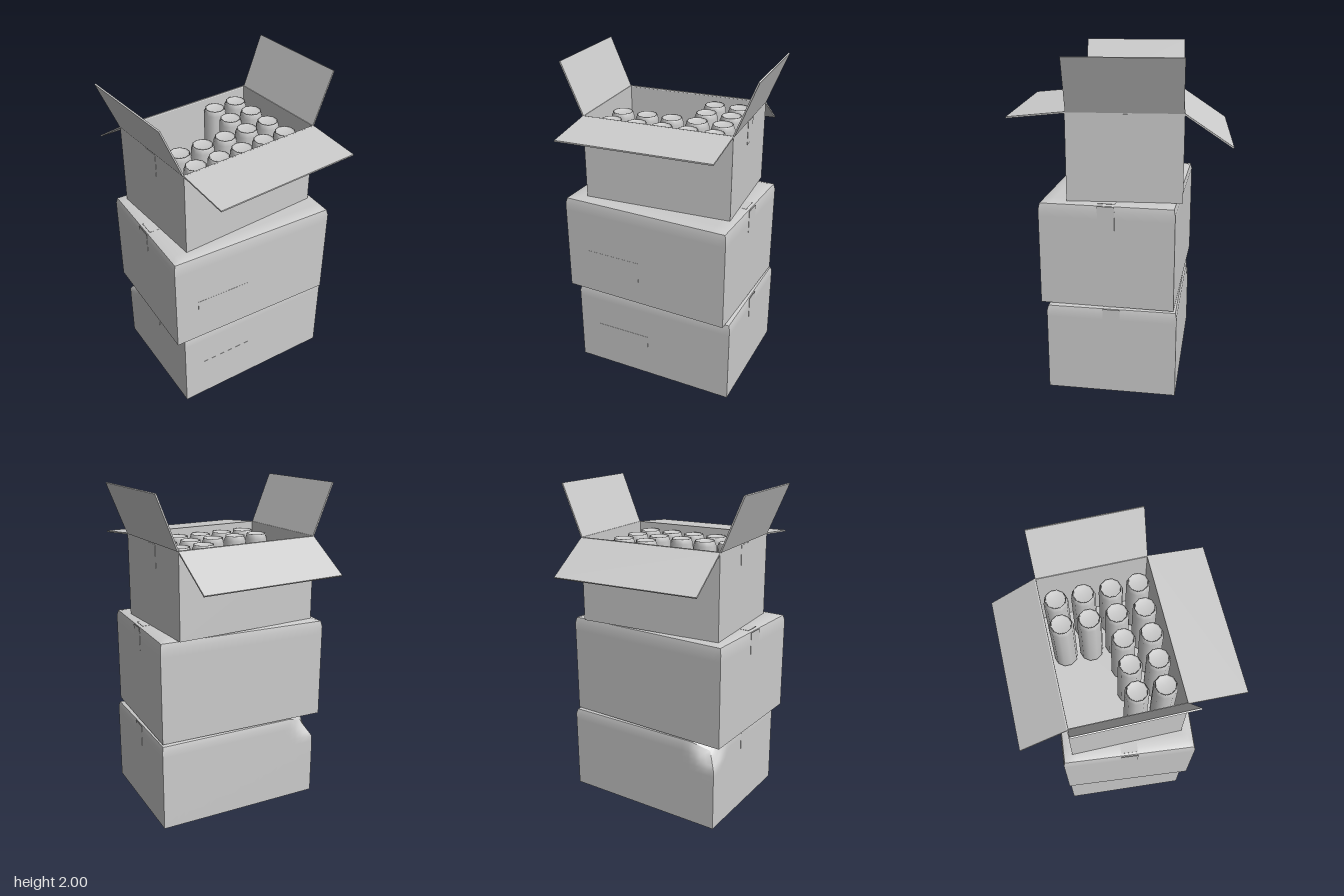
import * as THREE from 'three';

const grey = new THREE.MeshStandardMaterial({ color: 0xcccccc });
grey.name = 'plain grey';

function add(parent, name, geometry, x = 0, y = 0, z = 0) {
  const mesh = new THREE.Mesh(geometry, grey);
  mesh.name = name;
  mesh.position.set(x, y, z);
  parent.add(mesh);
  return mesh;
}

const box = (parent, name, w, h, d, x, y, z) =>
  add(parent, name, new THREE.BoxGeometry(w, h, d), x, y, z);

function makeGroup(parent, name, x, y, z, turn) {
  const g = new THREE.Group();
  g.name = name;
  g.position.set(x, y, z);
  g.rotation.y = turn;
  parent.add(g);
  return g;
}

// Closed carton: softened top edges, optional crushed back left corner
function cartonGeometry(w, h, d, crush) {
  const geo = new THREE.BoxGeometry(w, h, d, 24, 14, 20);
  geo.translate(0, h / 2, 0);
  const p = geo.attributes.position;
  const r = 0.02;
  for (let i = 0; i < p.count; i++) {
    let x = p.getX(i), y = p.getY(i), z = p.getZ(i);
    if (y > h - 0.001) {
      const edge = Math.max(Math.abs(x) - w / 2, Math.abs(z) - d / 2);
      if (edge > -0.001) {
        y -= r * 0.5;
        x = THREE.MathUtils.clamp(x, -w / 2 + r * 0.4, w / 2 - r * 0.4);
        z = THREE.MathUtils.clamp(z, -d / 2 + r * 0.4, d / 2 - r * 0.4);
      }
    }
    const reach = Math.hypot(x + w / 2, y - h, z + d / 2);
    const push = crush * Math.max(0, 1 - reach / 0.16);
    p.setXYZ(i, x + push, y - push, z + push);
  }
  geo.computeVertexNormals();
  return geo;
}

// Tape ends hanging down the two short sides
function sideTape(parent, w, top) {
  for (const s of [-1, 1]) {
    box(parent, 'sideTape', 0.003, 0.14, 0.1, s * (w / 2 + 0.0005), top - 0.08, 0);
  }
}

function closedCarton(parent, name, w, h, d, x, y, z, turn, crush) {
  const g = makeGroup(parent, name, x, y, z, turn);
  add(g, 'cartonBody', cartonGeometry(w, h, d, crush));
  sideTape(g, w, h);
  box(g, 'topTape', w - 0.04, 0.002, 0.1, 0, h, 0);
  box(g, 'frontLabel', 0.355, 0.185, 0.002, -0.21, 0.192, d / 2);
  return g;
}

// Slim ten-sided can with a rolled rim and sunken lid
function canGeometry(h) {
  const profile = [
    [0, 0.006], [0.056, 0], [0.071, 0.02], [0.071, h - 0.03],
    [0.062, h - 0.008], [0.062, h], [0.057, h], [0.055, h - 0.012], [0, h - 0.012],
  ].map(([r, y]) => new THREE.Vector2(r, y));
  const geo = new THREE.LatheGeometry(profile, 10);
  return geo;
}

function openCarton(parent) {
  const w = 0.915, d = 0.665, h = 0.515, t = 0.008;
  const g = makeGroup(parent, 'openCarton', 0.006, 1.175, -0.03, 0.06);

  // Floor and four walls
  box(g, 'floor', w, t, d, 0, t / 2, 0);
  for (const s of [-1, 1]) {
    box(g, s > 0 ? 'frontWall' : 'backWall', w, h, t, 0, h / 2, s * (d - t) / 2);
    box(g, s > 0 ? 'leftWall' : 'rightWall', t, h, d - 2 * t, s * (w - t) / 2, h / 2, 0);
  }
  sideTape(g, w, h);
  box(g, 'backLabel', 0.345, 0.24, 0.002, 0.19, 0.335, -d / 2);

  // Flaps: name, width, distance from centre, turn, upward tilt
  const flaps = [
    ['frontFlap', w, d / 2, 0, -0.1],
    ['backFlap', w, d / 2, Math.PI, -0.59],
    ['leftFlap', d - 0.01, w / 2, Math.PI / 2, 1.19],
    ['rightFlap', d - 0.01, w / 2, -Math.PI / 2, 1.17],
  ];
  for (const [name, width, dist, turn, tilt] of flaps) {
    const hinge = makeGroup(g, name, Math.sin(turn) * dist, h, Math.cos(turn) * dist, turn);
    const geo = new THREE.BoxGeometry(width, 0.009, 0.335);
    geo.translate(0, -0.0045, 0.1675);
    add(hinge, name + 'Panel', geo, 0, 0, -0.004).rotation.x = -tilt;
  }

  // Cans: two full front rows, two in each back row
  const can = canGeometry(0.475);
  for (let row = 0; row < 4; row++) {
    for (let col = row < 2 ? 3 : 0; col < 5; col++) {
      add(g, 'can', can, -0.318 + 0.159 * col, t, -0.24 + 0.16 * row);
    }
  }
}

export function createModel() {
  const model = new THREE.Group();
  model.name = 'stackedCartons';
  closedCarton(model, 'bottomCarton', 1.045, 0.55, 0.77, 0.033, 0, 0.003, -0.013, 0.06);
  closedCarton(model, 'middleCarton', 1.07, 0.626, 0.79, 0, 0.55, 0.02, -0.037, 0);
  openCarton(model);
  return model;
}
